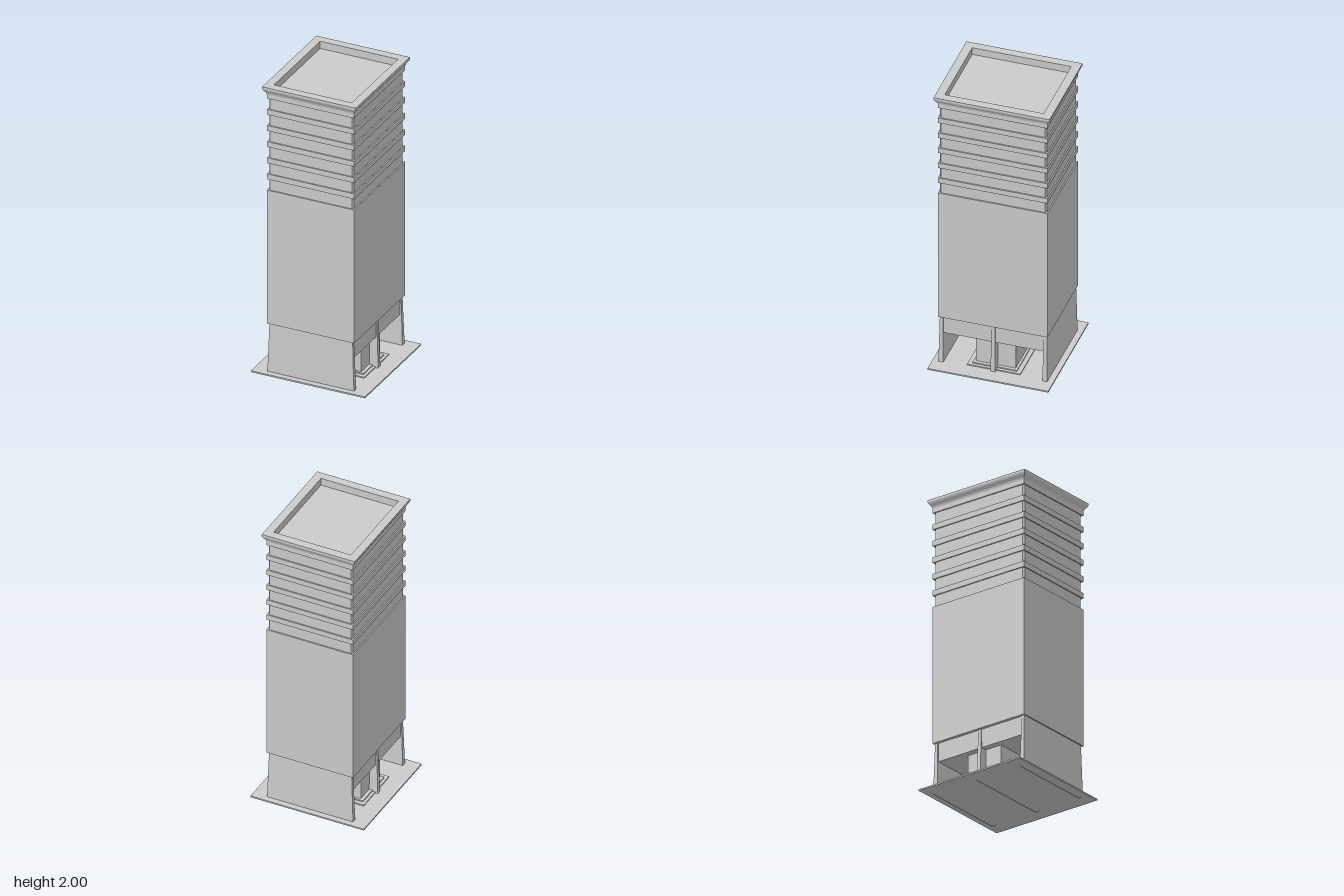
import * as THREE from 'three';

const grey = new THREE.MeshStandardMaterial({ color: 0xcccccc, flatShading: true });

// Stack of rectangular rings [halfX, halfZ, y], capped at both ends, flat faces
function loft(rings) {
  const pos = [];
  const pts = rings.map(([x, z, y]) => [[x, y, z], [x, y, -z], [-x, y, -z], [-x, y, z]]);
  const quad = (a, b, c, d) => pos.push(...a, ...b, ...c, ...a, ...c, ...d);
  for (let i = 0; i + 1 < pts.length; i++) {
    for (let k = 0; k < 4; k++) {
      const n = (k + 1) % 4;
      quad(pts[i][k], pts[i][n], pts[i + 1][n], pts[i + 1][k]);
    }
  }
  quad(...pts[pts.length - 1]);
  quad(...[...pts[0]].reverse());
  const geo = new THREE.BufferGeometry();
  geo.setAttribute('position', new THREE.Float32BufferAttribute(pos, 3));
  geo.computeVertexNormals();
  return geo;
}

// Outline in plan, extruded upwards from y0 to y1
function slab(shape, y0, y1) {
  return new THREE.ExtrudeGeometry(shape, { depth: y1 - y0, bevelEnabled: false })
    .rotateX(-Math.PI / 2).translate(0, y0, 0);
}

const outline = (points) => points.map(([x, y]) => new THREE.Vector2(x, y));

export function createModel() {
  const model = new THREE.Group();
  const add = (name, geo, z = 0) => {
    const mesh = new THREE.Mesh(geo, grey);
    mesh.name = name;
    mesh.position.z = z;
    model.add(mesh);
  };
  const block = (name, hx, hz, y0, y1) =>
    add(name, new THREE.BoxGeometry(hx * 2, y1 - y0, hz * 2).translate(0, (y0 + y1) / 2, 0));

  // Ground plate with a slot under each supporting wall
  const wallZ = [-0.338, 0, 0.338];
  const wallX = 0.298, wallHalf = 0.016, p = 0.393;
  const plate = new THREE.Shape(outline([[-p, -p], [p, -p], [p, p], [-p, p]]));
  for (const z of wallZ) {
    plate.holes.push(new THREE.Path(outline([
      [-wallX, z - wallHalf], [-wallX, z + wallHalf], [wallX, z + wallHalf], [wallX, z - wallHalf],
    ])));
  }
  add('groundPlate', slab(plate, 0, 0.01));

  // Tapered walls carrying the tower
  for (const z of wallZ) {
    add('supportWall', loft([[wallX, wallHalf, 0.002], [0.286, 0.01, 0.35]]), z);
  }

  // Entrance core on its two steps, and the lowered ceiling block
  block('lowerStep', 0.28, 0.173, 0.008, 0.017);
  block('upperStep', 0.26, 0.145, 0.017, 0.025);
  block('entranceCore', 0.238, 0.13, 0.02, 0.23);
  block('ceilingBlock', 0.28, 0.326, 0.22, 0.35);

  // Plain lower shaft
  const hx = 0.3, hz = 0.357, shaftTop = 1.275;
  block('shaft', hx, hz, 0.345, shaftTop);

  // Recessed upper shaft with chamfered corners
  const rx = hx - 0.008, rz = hz - 0.008, c = 0.01;
  const recess = new THREE.Shape(outline([
    [rx - c, -rz], [rx, -rz + c], [rx, rz - c], [rx - c, rz],
    [-rx + c, rz], [-rx, rz - c], [-rx, -rz + c], [-rx + c, -rz],
  ]));
  add('recessedShaft', slab(recess, shaftTop - 0.01, 1.93));

  // Projecting bands between the recessed rows
  const pitch = 0.1127, row = 0.076;
  for (let i = 0; i < 5; i++) {
    const y = shaftTop + i * pitch;
    block('band', hx, hz, y + row, y + pitch);
  }
  block('topBand', hx, hz, shaftTop + 5 * pitch + row, 1.945);

  // Flared cornice with a sunken roof
  add('cornice', loft([
    [0.3, 0.357, 1.945], [0.304, 0.361, 1.957], [0.317, 0.373, 1.974], [0.322, 0.378, 1.985],
    [0.322, 0.378, 2], [0.268, 0.322, 2], [0.268, 0.322, 1.95],
  ]));

  return model;
}
